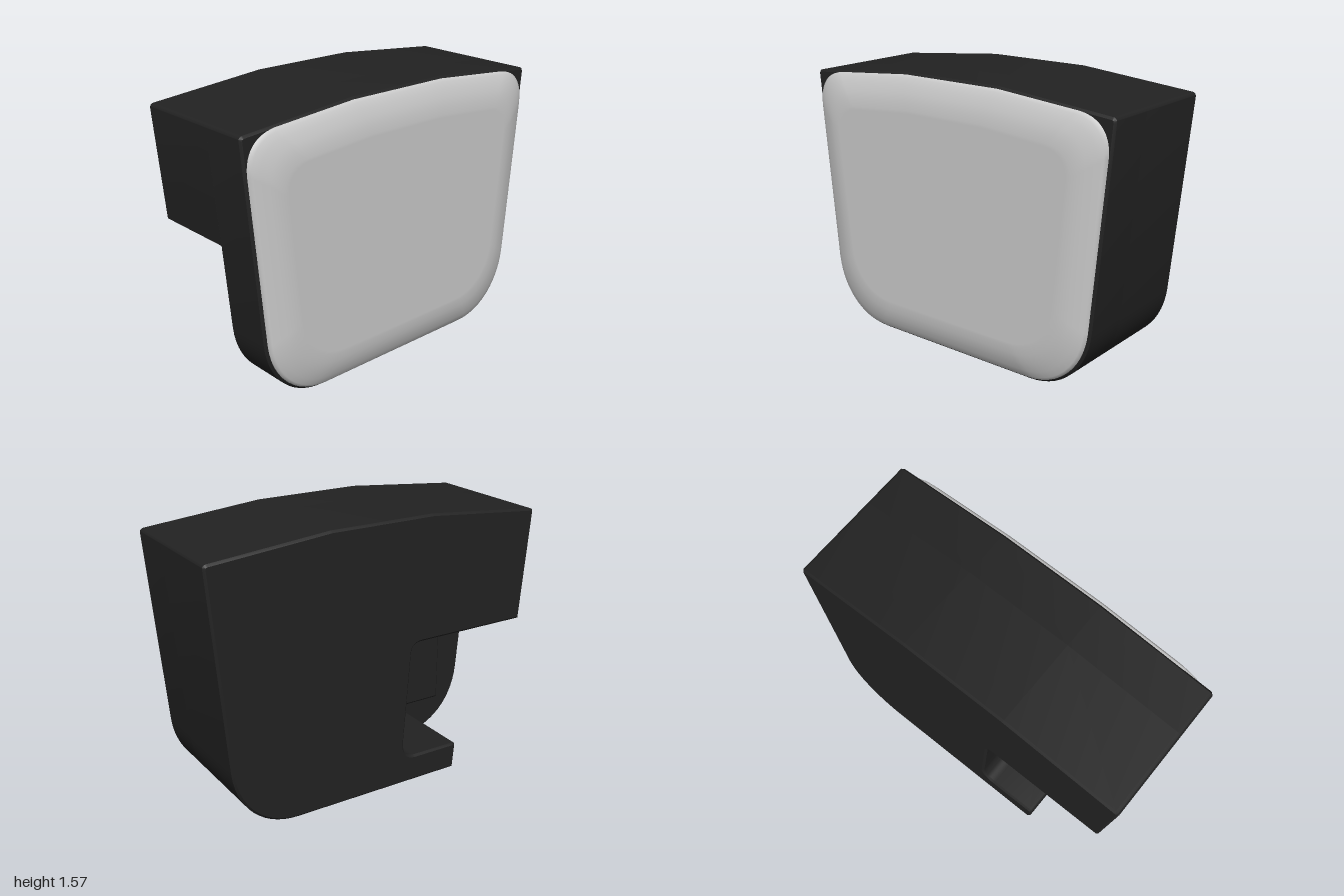
import * as THREE from 'three';
import { toCreasedNormals } from 'three/addons/utils/BufferGeometryUtils.js';

const BEVEL = 0.012;
const NOTCH_Z = 0.07; // depth of the rear connector recess

const black = new THREE.MeshStandardMaterial({ color: 0x222222 });
const grey = new THREE.MeshStandardMaterial({ color: 0xcccccc });

function addMesh(parent, name, geometry, material) {
  const mesh = new THREE.Mesh(geometry, material);
  mesh.name = name;
  parent.add(mesh);
  return mesh;
}

// Housing outline, counter-clockwise; optionally with the recess cut into the -x side
function housingShape(withNotch) {
  const s = new THREE.Shape();
  s.moveTo(0.52, 0.035);
  s.bezierCurveTo(0.73, 0.035, 0.88, 0.19, 0.9, 0.4);
  s.lineTo(0.998, 1.48);
  s.quadraticCurveTo(1, 1.503, 0.975, 1.506);
  s.lineTo(0.31, 1.567);
  s.lineTo(-0.31, 1.567);
  s.lineTo(-0.975, 1.506);
  s.quadraticCurveTo(-1, 1.503, -0.998, 1.48);
  if (withNotch) {
    s.lineTo(-0.943, 0.87);
    s.lineTo(-0.26, 0.87);
    s.quadraticCurveTo(-0.197, 0.87, -0.193, 0.81);
    s.lineTo(-0.155, 0.28);
    s.quadraticCurveTo(-0.155, 0.19, -0.24, 0.19);
    s.lineTo(-0.5, 0.19);
    s.quadraticCurveTo(-0.525, 0.19, -0.522, 0.165);
    s.lineTo(-0.51, 0.035);
  } else {
    s.lineTo(-0.9, 0.4);
    s.bezierCurveTo(-0.88, 0.19, -0.73, 0.035, -0.52, 0.035);
  }
  s.closePath();
  return s;
}

// Extrude between two z planes with a small chamfer kept inside the outline
function slab(shape, z0, z1) {
  const geo = new THREE.ExtrudeGeometry(shape, {
    depth: z1 - z0 - 2 * BEVEL, bevelEnabled: true, bevelSegments: 1,
    bevelThickness: BEVEL, bevelSize: BEVEL, bevelOffset: -BEVEL, curveSegments: 14,
  });
  geo.translate(0, 0, z0 + BEVEL);
  return toCreasedNormals(geo, 0.4);
}

// Domed front cover: the outline shrinks in steps towards the flat front
function coverGeometry() {
  const s = new THREE.Shape();
  s.moveTo(0.52, 0.05);
  s.bezierCurveTo(0.72, 0.05, 0.865, 0.2, 0.885, 0.4);
  s.lineTo(0.968, 1.31);
  s.bezierCurveTo(0.975, 1.43, 0.91, 1.5, 0.8, 1.512);
  s.lineTo(0.31, 1.555);
  s.lineTo(-0.31, 1.555);
  s.lineTo(-0.8, 1.512);
  s.bezierCurveTo(-0.91, 1.5, -0.975, 1.43, -0.968, 1.31);
  s.lineTo(-0.885, 0.4);
  s.bezierCurveTo(-0.865, 0.2, -0.72, 0.05, -0.52, 0.05);
  const outline = s.getPoints(12);
  const n = outline.length;
  const cy = 0.8;
  // [x scale, y scale, z]
  const rings = [
    [1, 1, 0.34], [1, 1, 0.363], [0.985, 0.982, 0.374], [0.95, 0.94, 0.389],
    [0.9, 0.88, 0.405], [0.86, 0.82, 0.414], [0.82, 0.765, 0.418],
    [0.8, 0.745, 0.418], [0, 0, 0.418],
  ];
  const pos = [];
  const index = [];
  rings.forEach(([sx, sy, z], k) => {
    outline.forEach((p, i) => {
      pos.push(p.x * sx, cy + (p.y - cy) * sy, z);
      if (k === rings.length - 1) return;
      const j = (i + 1) % n;
      const a = k * n + i, b = k * n + j, c = b + n, d = a + n;
      index.push(a, b, c, a, c, d);
    });
  });
  const geo = new THREE.BufferGeometry();
  geo.setAttribute('position', new THREE.Float32BufferAttribute(pos, 3));
  geo.setIndex(index);
  geo.computeVertexNormals();
  return geo;
}

// Round mounting foot with a central socket and a ring of screws
function createFoot() {
  const foot = new THREE.Group();
  foot.name = 'mountingFoot';
  const profile = [[0, 0.03], [0.13, 0.03], [0.13, 0.004], [0.138, 0], [0.275, 0], [0.281, 0.005], [0.281, 0.05]]
    .map(([r, y]) => new THREE.Vector2(r, y));
  addMesh(foot, 'footPlate', toCreasedNormals(new THREE.LatheGeometry(profile, 48), 0.4), black);
  for (let i = 0; i < 6; i++) {
    const a = (i / 6) * Math.PI * 2 + Math.PI / 6;
    const screw = addMesh(foot, 'footScrew', new THREE.CylinderGeometry(0.012, 0.012, 0.006, 12), black);
    screw.position.set(Math.cos(a) * 0.21, 0.002, Math.sin(a) * 0.21);
  }
  foot.position.z = -0.033;
  return foot;
}

export function createModel() {
  const model = new THREE.Group();
  model.name = 'speaker';

  // Housing: solid front layer and recessed rear layer, overlapping slightly
  addMesh(model, 'housingFront', slab(housingShape(false), NOTCH_Z, 0.355), black);
  addMesh(model, 'housingRear', slab(housingShape(true), -0.418, NOTCH_Z + 2 * BEVEL), black);
  addMesh(model, 'frontCover', coverGeometry(), grey);

  // Connector block standing out from the recess wall
  const block = new THREE.Shape();
  block.moveTo(-0.22, 0.4);
  block.lineTo(-0.22, 0.79);
  block.lineTo(-0.53, 0.79);
  block.lineTo(-0.53, 0.4);
  block.closePath();
  addMesh(model, 'connectorBlock', slab(block, -0.22, NOTCH_Z + 2 * BEVEL), black);

  model.add(createFoot());
  return model;
}
